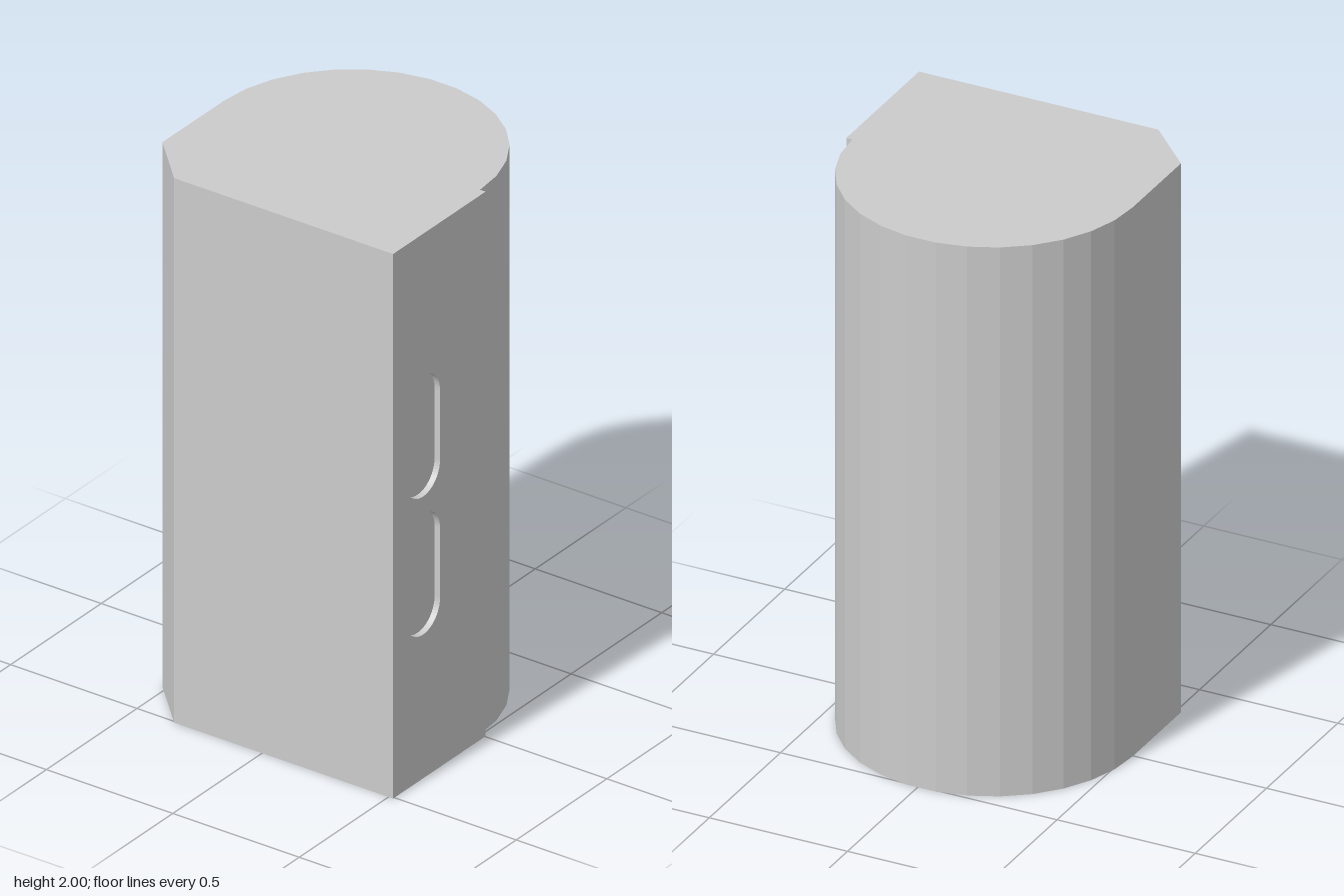
import * as THREE from 'three';

const HEIGHT = 2;
const FRONT = 0.507, ARC_Z = -0.003, ARC_X = -0.0105, RADIUS = 0.507;
const SIDE = 0.518;                 // outer x of the raised side panel
const STEP = ARC_X + RADIUS;        // x where the round back meets the panel

export function createModel() {
  const group = new THREE.Group();
  const material = new THREE.MeshStandardMaterial({ color: 0xcccccc, flatShading: true });
  const add = (name, geometry) => {
    const mesh = new THREE.Mesh(geometry, material);
    mesh.name = name;
    group.add(mesh);
  };

  // Body: round back in 15 facets, flat front, one chamfered corner
  const outline = [];
  for (let i = 0; i <= 15; i++) {
    const a = (i / 15) * Math.PI;
    outline.push(new THREE.Vector2(ARC_X + RADIUS * Math.cos(a), -ARC_Z + RADIUS * Math.sin(a)));
  }
  outline.push(
    new THREE.Vector2(-SIDE, -0.335),
    new THREE.Vector2(-0.348, -FRONT),
    new THREE.Vector2(STEP, -FRONT)
  );
  const body = new THREE.ExtrudeGeometry(new THREE.Shape(outline), { depth: HEIGHT, bevelEnabled: false });
  body.rotateX(-Math.PI / 2);
  add('body', body);

  // Side panel, raised from the body, with two rounded slots
  const panel = new THREE.Shape([
    new THREE.Vector2(-FRONT, 0),
    new THREE.Vector2(-ARC_Z, 0),
    new THREE.Vector2(-ARC_Z, HEIGHT),
    new THREE.Vector2(-FRONT, HEIGHT)
  ]);
  const r = 0.094, half = 0.222 - r, u = -0.342;
  for (const y of [0.75, 1.257]) {
    const slot = new THREE.Path();
    slot.absarc(u, y + half, r, 0, Math.PI);
    slot.absarc(u, y - half, r, Math.PI, Math.PI * 2);
    slot.closePath();
    panel.holes.push(slot);
  }
  const side = new THREE.ExtrudeGeometry(panel, { depth: SIDE - STEP, bevelEnabled: false, curveSegments: 16 });
  side.rotateY(Math.PI / 2).translate(STEP, 0, 0);
  add('slottedSidePanel', side);

  return group;
}
